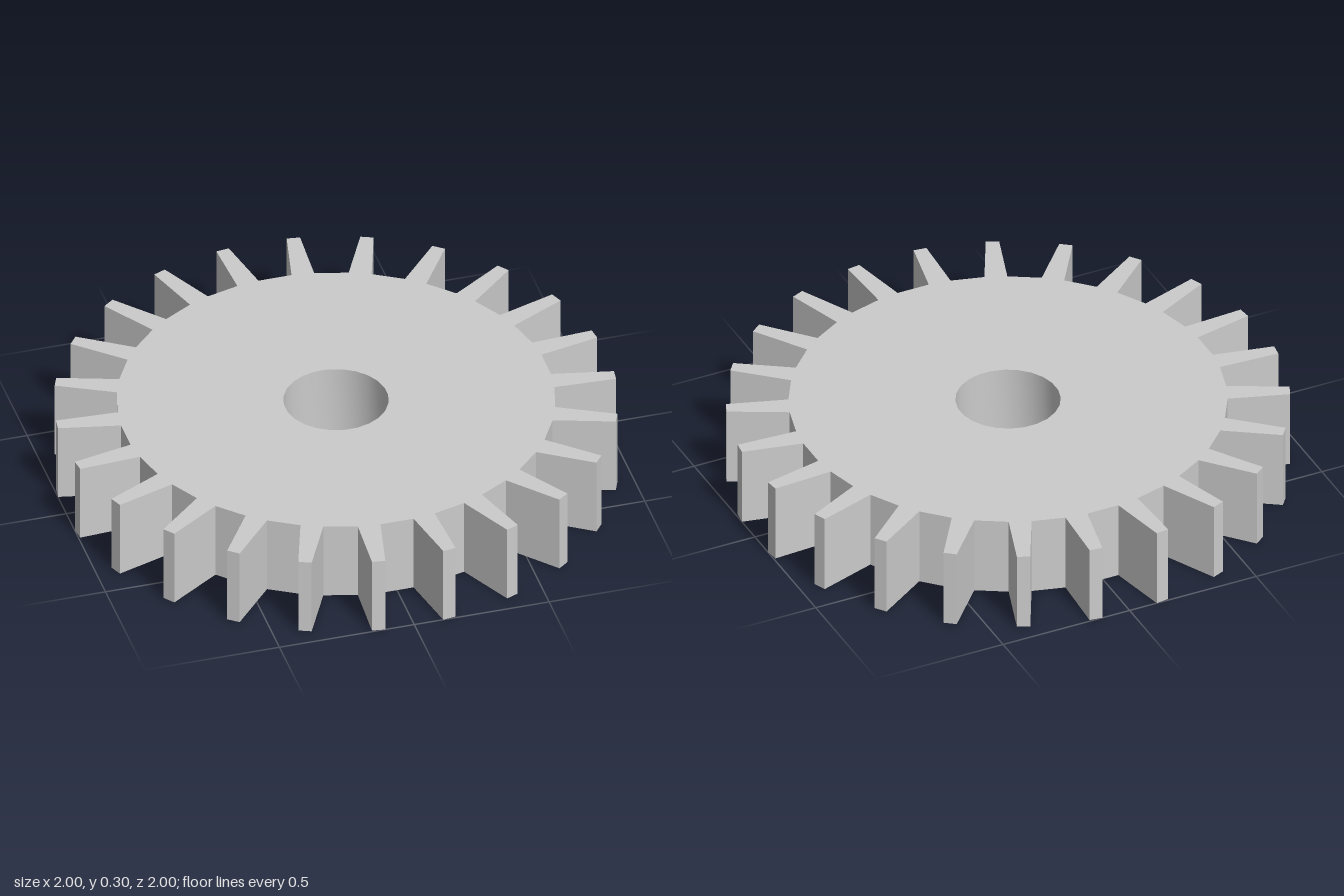
import * as THREE from 'three';
import { toCreasedNormals } from 'three/addons/utils/BufferGeometryUtils.js';

const TEETH = 24, HEIGHT = 0.3;
const ROOT_RADIUS = 0.782, TIP_RADIUS = 1.0057, BORE_RADIUS = 0.188;
const PITCH = (Math.PI * 2) / TEETH;
const ROOT_HALF = THREE.MathUtils.degToRad(3.0); // half tooth angle at its foot
const TIP_HALF = THREE.MathUtils.degToRad(1.37); // half tooth angle at its tip

const polar = (r, a) => new THREE.Vector2(r * Math.cos(a), r * Math.sin(a));

export function createModel() {
  const outline = [], bore = [];
  for (let i = 0; i < TEETH; i++) {
    // one tapered tooth, centred half a pitch off the axes
    const a = (i + 0.5) * PITCH;
    outline.push(
      polar(ROOT_RADIUS, a - ROOT_HALF),
      polar(TIP_RADIUS, a - TIP_HALF),
      polar(TIP_RADIUS, a + TIP_HALF),
      polar(ROOT_RADIUS, a + ROOT_HALF)
    );
    bore.push(polar(BORE_RADIUS, a));
  }

  const profile = new THREE.Shape(outline);
  profile.holes.push(new THREE.Path(bore.reverse()));

  // extrude, then lay flat on the ground
  const extruded = new THREE.ExtrudeGeometry(profile, { depth: HEIGHT, bevelEnabled: false });
  extruded.rotateX(-Math.PI / 2);

  // smooth bore, sharp teeth
  const gear = new THREE.Mesh(
    toCreasedNormals(extruded, 0.5),
    new THREE.MeshStandardMaterial({ color: 0xcccccc })
  );
  gear.name = 'gearWheel';

  const group = new THREE.Group();
  group.name = 'gear';
  group.add(gear);
  return group;
}
